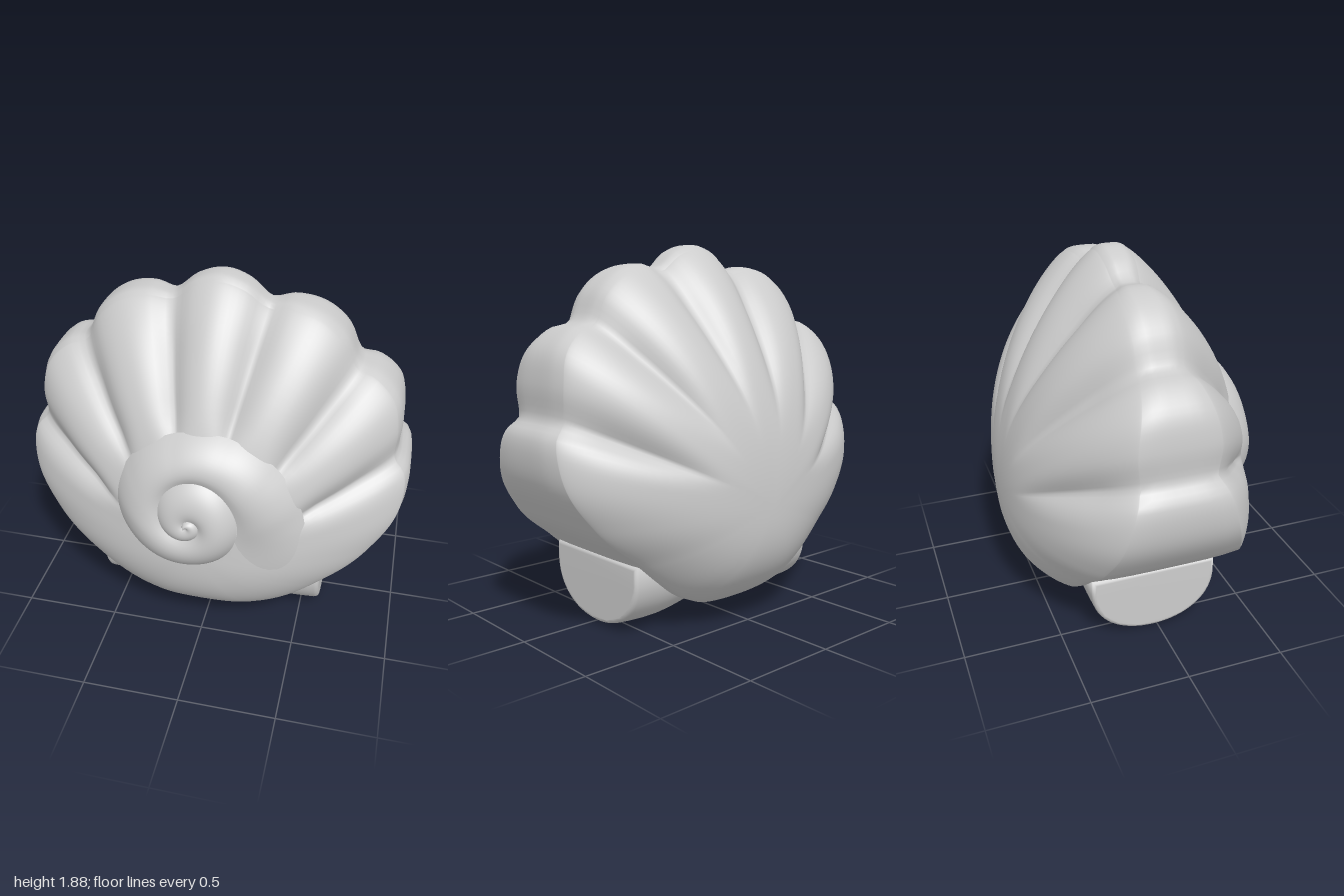
import * as THREE from 'three';
import { mergeVertices } from 'three/addons/utils/BufferGeometryUtils.js';

const { lerp, smoothstep, clamp, degToRad } = THREE.MathUtils;
const material = new THREE.MeshStandardMaterial({ color: 0xcccccc, side: THREE.DoubleSide });

// Smooth interpolation through [x, value] pairs, level at both ends
function sample(table, x) {
  const n = table.length - 1;
  x = clamp(x, table[0][0], table[n][0]);
  let i = 0;
  while (i < n - 1 && x > table[i + 1][0]) i++;
  const slope = (k) => (k === 0 || k === n) ? 0
    : (table[k + 1][1] - table[k - 1][1]) / (table[k + 1][0] - table[k - 1][0]);
  const [x0, a] = table[i], [x1, b] = table[i + 1];
  const d = x1 - x0, t = (x - x0) / d, t2 = t * t, t3 = t2 * t;
  return a * (2 * t3 - 3 * t2 + 1) + b * (3 * t2 - 2 * t3)
    + d * (slope(i) * (t3 - 2 * t2 + t) + slope(i + 1) * (t3 - t2));
}

// Smooth surface over a grid of points; point(i, j) returns [x, y, z]
function gridGeometry(cols, rows, point) {
  const pos = [], index = [];
  for (let i = 0; i <= cols; i++) for (let j = 0; j <= rows; j++) pos.push(...point(i, j));
  for (let i = 0; i < cols; i++) for (let j = 0; j < rows; j++) {
    const a = i * (rows + 1) + j, b = a + rows + 1;
    index.push(a, b, b + 1, a, b + 1, a + 1);
  }
  const g = new THREE.BufferGeometry();
  g.setAttribute('position', new THREE.Float32BufferAttribute(pos, 3));
  g.setIndex(index);
  const merged = mergeVertices(g, 1e-5);
  merged.computeVertexNormals();
  return merged;
}

// Shell: scalloped outline, its plain envelope, and rim half-width and offset,
// all by angle (degrees from straight up)
const HINGE_Y = 0.62, RIM = 0.98;
const outline = [[0, 1.26], [6, 1.23], [11.8, 1.165], [17, 1.21], [24, 1.23], [31, 1.2], [38, 1.125],
  [43, 1.165], [50, 1.17], [57, 1.11], [64.4, 1.03], [69, 1.055], [74, 1.04], [82, 0.98], [93, 0.85],
  [113, 0.655], [143, 0.578], [180, 0.57]];
const envelope = [[0, 1.24], [25, 1.22], [50, 1.15], [65, 1.07], [78, 0.98], [93, 0.85], [113, 0.68],
  [143, 0.585], [180, 0.57]];
const rimWidth = [[0, 0.08], [25, 0.11], [45, 0.15], [57, 0.2], [64, 0.21], [75, 0.25], [93, 0.34],
  [115, 0.4], [150, 0.36], [180, 0.27]];
const rimOffset = [[0, -0.04], [75, -0.04], [110, 0], [180, -0.03]];
const grooves = [11.8, 38, 64.4];

// Each face: height at the hinge, fullness by angle, and where the grooves fade in
const FRONT = { sign: 1, top: 0.6, power: [[0, 2.05], [90, 1.95], [130, 2.5], [180, 3]], fade: [0.42, 0.65] };
const BACK = { sign: -1, top: 0.668, power: [[0, 2.05], [50, 2.25], [90, 2.3], [180, 2.9]], fade: [0.3, 0.75] };

// Smooth face height at angle a and fraction u of the way from hinge to rim
function faceZ(side, a, u) {
  const w = sample(rimWidth, a) + side.sign * sample(rimOffset, a);
  const R = sample(outline, a);
  const v = u * R / lerp(sample(envelope, a), R, smoothstep(u, 0.3, 0.95));
  const h = Math.max(0, 1 - Math.pow(v, sample(side.power, a)));
  return w + (side.top - w) * Math.pow(h, lerp(0.88, 0.8, a / 180));
}

// Depth cut by the nearest groove
function grooveDepth(side, a, u) {
  const near = Math.min(...grooves.map((g) => Math.abs(a - g)));
  return 0.06 * Math.pow(Math.max(0, 1 - near / 12), 2.2)
    * smoothstep(u, ...side.fade) * (1 - 0.5 * smoothstep(u, 0.8, 1));
}

function shellGeometry() {
  const cols = 240, face = 26, rim = 8, rows = face * 2 + rim;
  return gridGeometry(cols, rows, (i, j) => {
    const deg = 180 - (360 * i) / cols, a = Math.abs(deg), R = sample(outline, a);
    const k = clamp(1 - (2 * (j - face)) / rim, -1, 1);
    const edge = (side, u) => side.sign * (faceZ(side, a, u) - grooveDepth(side, a, u));
    let r, z;
    if (Math.abs(k) === 1) {
      const u = Math.sin(((k > 0 ? j : rows - j) / face) * Math.PI / 2);
      r = R * RIM * u;
      z = edge(k > 0 ? FRONT : BACK, u);
    } else {
      r = R * (1 - (1 - RIM) * Math.pow(Math.abs(k), 4));
      z = lerp(edge(BACK, 1), edge(FRONT, 1), (k + 1) / 2);
    }
    const t = degToRad(deg);
    return [r * Math.sin(t), HINGE_Y + r * Math.cos(t), z];
  });
}

// Spiral whorl: edge radius and edge lift by running angle (degrees)
const CX = -0.03, CY = 0.84, START = -65;
const spiralRadius = [[START, 0.7], [-30, 0.62], [0, 0.55], [45, 0.475], [90, 0.425], [180, 0.39], [270, 0.29],
  [360, 0.24], [450, 0.22], [540, 0.14], [630, 0.08], [720, 0.06], [810, 0.035], [990, 0]];
const edgeLift = [[START, -0.012], [180, -0.012], [270, -0.01], [360, 0.035], [450, 0.045], [720, 0.065],
  [990, 0.07]];

function whorlGeometry() {
  const cols = 260, rows = 14;
  return gridGeometry(cols, rows, (i, j) => {
    const phi = lerp(START, 990, i / cols), s = Math.pow(j / rows, 1.4), t = degToRad(phi);
    const r = lerp(sample(spiralRadius, phi), sample(spiralRadius, phi + 360), s);
    const x = CX + r * Math.cos(t), y = CY + r * Math.sin(t);
    const a = Math.abs(Math.atan2(x, y - HINGE_Y)) * 180 / Math.PI;
    const u = Math.hypot(x, y - HINGE_Y) / (sample(outline, a) * RIM);
    const bulge = (1 - Math.pow(1 - s, 4)) * (1 - Math.pow(s, 4));
    const size = lerp(0.06, 0.02, smoothstep(phi, 200, 600));
    const lift = lerp(sample(edgeLift, phi), sample(edgeLift, phi + 360), s) + size * bulge;
    return [x, y, faceZ(FRONT, a, u) + lerp(-0.012, lift, smoothstep(phi, START, 40))];
  });
}

// Foot: D-shaped bar across the base, pinched in the middle
function footGeometry() {
  const d = new THREE.Shape();
  d.moveTo(-0.33, 0.36);
  d.lineTo(-0.33, 0.26);
  d.bezierCurveTo(-0.32, 0.1, -0.18, 0, 0, 0);
  d.bezierCurveTo(0.18, 0, 0.32, 0.1, 0.33, 0.26);
  d.lineTo(0.33, 0.36);
  d.closePath();
  const bar = new THREE.ExtrudeGeometry(d, {
    depth: 1.16, steps: 16, curveSegments: 16,
    bevelThickness: 0.025, bevelSize: 0.02, bevelOffset: -0.02, bevelSegments: 3,
  });
  bar.deleteAttribute('uv');
  bar.deleteAttribute('normal');
  const g = mergeVertices(bar, 1e-4);
  g.translate(0, 0, -0.58);
  g.rotateY(Math.PI / 2);
  const p = g.attributes.position;
  for (let i = 0; i < p.count; i++) {
    const x = Math.abs(p.getX(i)), pinch = 1 - smoothstep(x, 0, 0.4);
    p.setY(i, lerp(p.getY(i), 0.36, 0.14 * pinch + 0.03 * smoothstep(x, 0.45, 0.6)));
    p.setZ(i, p.getZ(i) * (1 - 0.1 * pinch) - 0.025);
  }
  g.computeVertexNormals();
  return g;
}

export function createModel() {
  const model = new THREE.Group();
  model.name = 'shell';
  const parts = { scallopBody: shellGeometry(), spiralWhorl: whorlGeometry(), foot: footGeometry() };
  for (const [name, geometry] of Object.entries(parts)) {
    const mesh = new THREE.Mesh(geometry, material);
    mesh.name = name;
    model.add(mesh);
  }
  return model;
}
